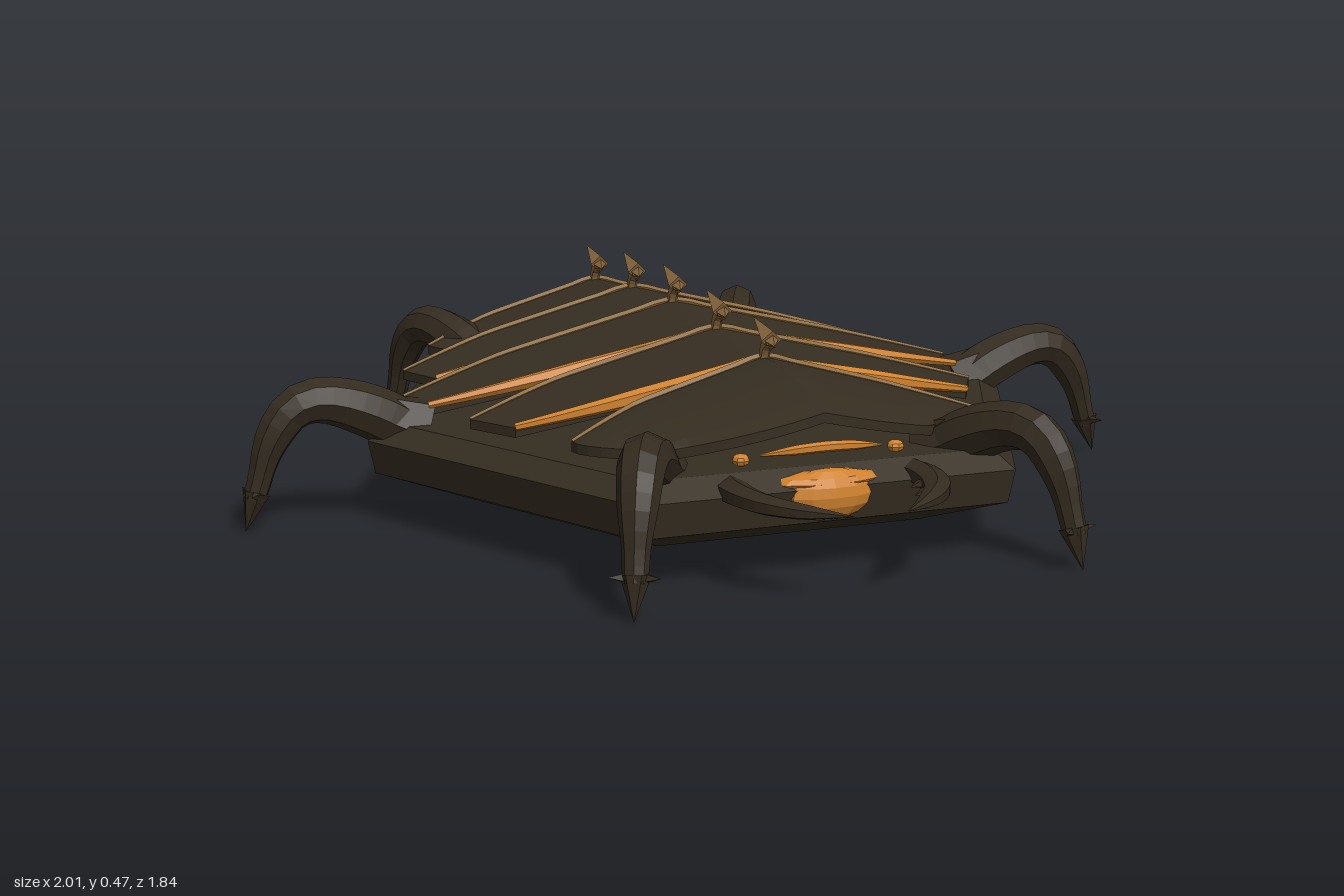
import * as THREE from 'three';
import { ConvexGeometry } from 'three/addons/geometries/ConvexGeometry.js';

const V = (x, y, z) => new THREE.Vector3(x, y, z);
const mat = (name, color) => new THREE.MeshStandardMaterial({ name, color, flatShading: true });

export function createModel() {
  const model = new THREE.Group();
  model.name = 'armouredBeetle';
  const dark = mat('darkChitin', 0x352d20);
  const limb = mat('limbBrown', 0x342b1f);
  const tan = mat('tanEdge', 0x8c6a3e);
  const orange = mat('orange', 0xd0822e);

  const add = (name, geo, material, parent = model) => {
    const mesh = new THREE.Mesh(geo, material);
    mesh.name = name;
    parent.add(mesh);
    return mesh;
  };

  // Tube along points whose radius follows a list of values
  const taperTube = (points, radii, segs, sides) => {
    const curve = new THREE.CatmullRomCurve3(points);
    const geo = new THREE.TubeGeometry(curve, segs, 1, sides);
    const pos = geo.attributes.position;
    const v = V(0, 0, 0);
    for (let i = 0; i < pos.count; i++) {
      const t = Math.floor(i / (sides + 1)) / segs;
      const f = t * (radii.length - 1);
      const k = Math.min(Math.floor(f), radii.length - 2);
      const r = THREE.MathUtils.lerp(radii[k], radii[k + 1], f - k);
      const c = curve.getPointAt(t);
      v.fromBufferAttribute(pos, i).sub(c).multiplyScalar(r).add(c);
      pos.setXYZ(i, v.x, v.y, v.z);
    }
    geo.computeVertexNormals();
    return geo;
  };

  // Cone from a base point to a tip
  const spike = (name, base, tip, radius, sides, material, parent) => {
    const dir = tip.clone().sub(base);
    const geo = new THREE.ConeGeometry(radius, dir.length(), sides);
    const mesh = add(name, geo, material, parent);
    mesh.position.copy(base).addScaledVector(dir, 0.5);
    mesh.quaternion.setFromUnitVectors(V(0, 1, 0), dir.normalize());
    return mesh;
  };

  // Six-sided hull with bevelled top and bottom
  const hull = [];
  for (const [y, s] of [[0.035, 0.72], [0.105, 0.98], [0.175, 1], [0.21, 0.93]]) {
    for (const side of [-1, 1]) {
      for (const [x, z] of [[0.74, 0], [0.4, 0.715], [0.4, -0.725]]) {
        hull.push(V(side * x * s, y, z * s - 0.025));
      }
    }
  }
  add('body', new ConvexGeometry(hull), dark);

  // Overlapping roof plates: rear z, front z, half width, rear and front ridge height, front taper
  const plates = [
    [0.34, 0.65, 0.44, 0.37, 0.315, 0.66],
    [0.075, 0.325, 0.57, 0.385, 0.35, 0.89],
    [-0.19, 0.06, 0.64, 0.4, 0.365, 0.96],
    [-0.455, -0.205, 0.57, 0.39, 0.372, 0.92],
    [-0.72, -0.475, 0.44, 0.368, 0.352, 0.89],
  ];
  plates.forEach(([zr, zf, w, yr, yf, taper], n) => {
    const surface = (u, v, lift = 0) => {
      const a = Math.abs(u);
      const back = zr + 0.08 * Math.pow(Math.max(0, (a - 0.6) / 0.4), 1.3);
      const front = zf - (n ? 0.06 : 0.09) * u * u;
      const ridge = THREE.MathUtils.lerp(yr, yf, Math.pow(v, n ? 1 : 2));
      return V(
        u * w * THREE.MathUtils.lerp(1, taper, n ? v : v * v),
        THREE.MathUtils.lerp(ridge, 0.245, a) + lift,
        THREE.MathUtils.lerp(back, front, v)
      );
    };
    const group = new THREE.Group();
    group.name = 'shellSegment' + (n + 1);
    model.add(group);

    const geo = new THREE.BoxGeometry(2, 1, 1, 16, 1, 6);
    const pos = geo.attributes.position;
    for (let i = 0; i < pos.count; i++) {
      const p = surface(pos.getX(i), pos.getZ(i) + 0.5, pos.getY(i) > 0 ? 0 : -0.02);
      pos.setXYZ(i, p.x, p.y, p.z);
    }
    geo.computeVertexNormals();
    add('shellPlate', geo, dark, group);

    // Tan trim along the rear rim, orange band along the front edge
    const across = (v, lift) => Array.from({ length: 17 }, (_, i) => surface(i / 8 - 1, v, lift));
    add('rearTrim', taperTube(across(0, 0), [0.005, 0.009, 0.009, 0.009, 0.005], 32, 5), tan, group);
    if (n) {
      add('orangeBand', taperTube(across(1, 0.002), [0.008, 0.018, 0.02, 0.018, 0.008], 32, 6), orange, group);
    }

    // Hooked spine on the ridge
    const base = V(0, yr - 0.01, zr + 0.005);
    const head = V(0, yr + 0.04, zr + 0.045);
    const stem = taperTube([base, V(0, yr + 0.02, zr + 0.015), head], [0.012, 0.012, 0.016], 4, 5);
    add('spineStem', stem, tan, group);
    spike('spineTip', head, V(0, yr + 0.073, zr - 0.05), 0.022, 4, tan, group);
    spike('spineBarb', head, V(0, yr + 0.03, zr + 0.06), 0.015, 4, tan, group);
  });

  // Legs arch outward along local +x
  const legPath = [
    V(0, 0.16, 0), V(0.06, 0.215, 0), V(0.2, 0.268, 0), V(0.26, 0.255, 0),
    V(0.31, 0.19, 0), V(0.34, 0.1, 0), V(0.35, 0.07, 0),
  ];
  const legGeo = taperTube(legPath, [0.06, 0.058, 0.056, 0.05, 0.046, 0.04, 0.028, 0.024], 16, 8);
  const addLeg = (name, x, z, dx, dz) => {
    const leg = new THREE.Group();
    leg.name = name;
    leg.position.set(x, 0, z);
    leg.rotation.y = Math.atan2(-dz, dx);
    model.add(leg);
    add('limb', legGeo, limb, leg);
    const hip = add('hip', new THREE.CylinderGeometry(0.04, 0.075, 0.14, 6), limb, leg);
    hip.position.set(0.06, 0.215, 0);
    hip.rotation.z = -1.15;
    spike('claw', V(0.345, 0.085, 0), V(0.37, 0.002, 0), 0.03, 6, limb, leg);
    for (const s of [-1, 1]) {
      spike('spur', V(0.345, 0.08, s * 0.012), V(0.365, 0.085, s * 0.05), 0.014, 4, limb, leg);
    }
  };
  for (const s of [-1, 1]) {
    const side = s > 0 ? 'left' : 'right';
    addLeg(side + 'FrontLeg', s * 0.3, 0.52, s * 0.45, 0.89);
    addLeg(side + 'MiddleLeg', s * 0.63, -0.035, s, 0);
    addLeg(side + 'RearLeg', s * 0.3, -0.58, s * 0.45, -0.89);

    // Curved mandible with small inner teeth
    const jaw = [V(s * 0.18, 0.18, 0.6), V(s * 0.2, 0.18, 0.68), V(s * 0.18, 0.178, 0.78),
      V(s * 0.13, 0.175, 0.85), V(s * 0.055, 0.172, 0.91)];
    const jawMesh = add(side + 'Mandible', taperTube(jaw, [0.036, 0.034, 0.03, 0.022, 0.001], 14, 6), limb);
    jawMesh.scale.y = 0.7;
    jawMesh.position.y = 0.056;
    for (const [x, z] of [[0.165, 0.74], [0.145, 0.8]]) {
      spike(side + 'MandibleTooth', V(s * x, 0.18, z), V(s * (x - 0.032), 0.18, z + 0.02), 0.011, 4, limb);
    }

    // Eye
    const eye = add(side + 'Eye', new THREE.SphereGeometry(0.018, 8, 6), orange);
    eye.position.set(s * 0.165, 0.23, 0.625);
    eye.scale.y = 0.7;
  }

  // Orange face shield and brow
  const shield = add('faceShield', new THREE.SphereGeometry(1, 12, 8), orange);
  shield.scale.set(0.095, 0.052, 0.04);
  shield.position.set(0, 0.158, 0.67);
  const shieldTop = add('faceShieldTop', new THREE.SphereGeometry(1, 12, 6), orange);
  shieldTop.scale.set(0.11, 0.02, 0.04);
  shieldTop.position.set(0, 0.185, 0.663);
  const brow = [V(-0.13, 0.238, 0.635), V(0, 0.25, 0.66), V(0.13, 0.238, 0.635)];
  add('brow', taperTube(brow, [0.002, 0.01, 0.011, 0.01, 0.002], 14, 6), orange);

  return model;
}
